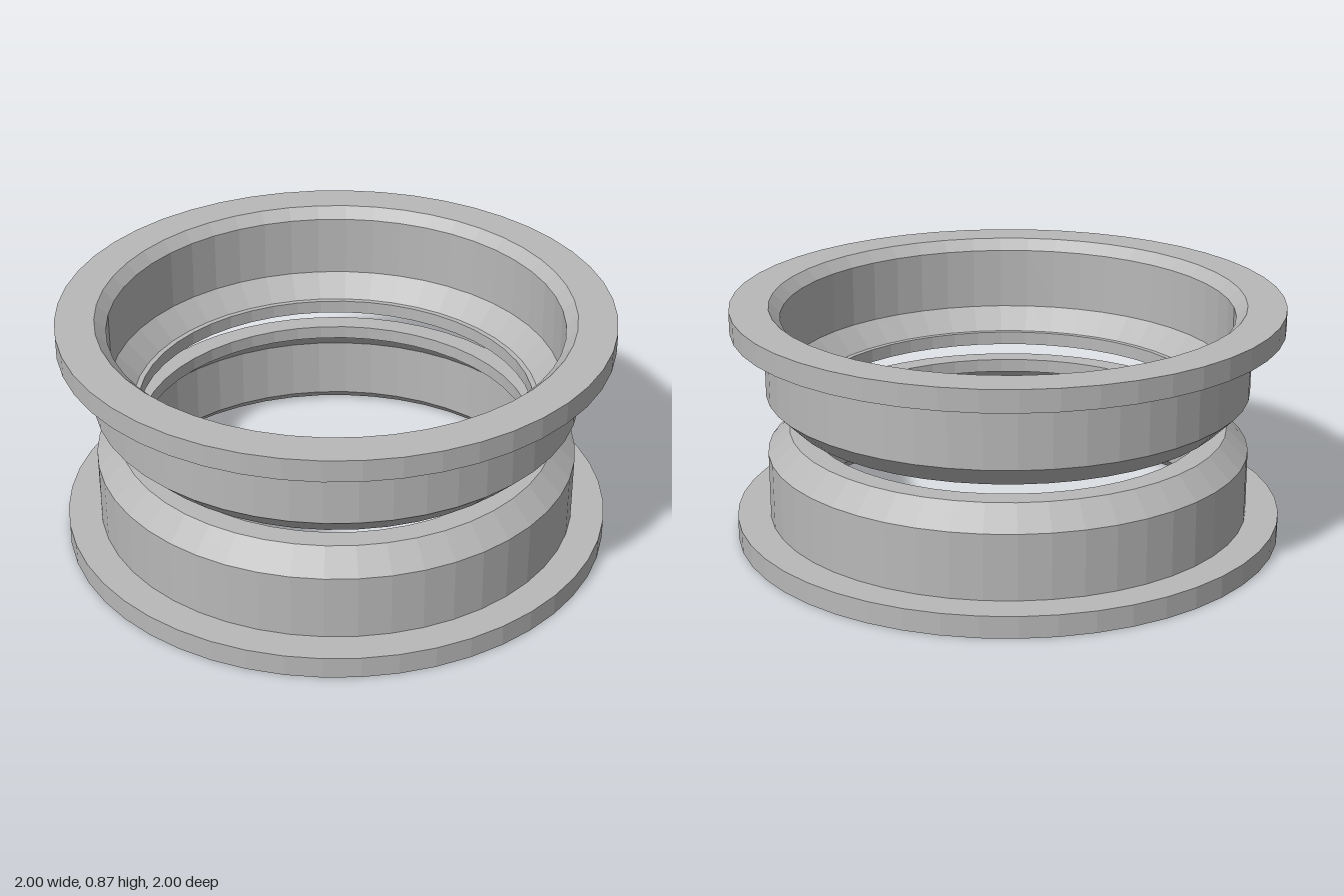
import * as THREE from 'three';

const HEIGHT = 0.865;
const SIDES = 48;

// Closed cross-section of one half as [radius, height], outer side going up
const PROFILE = [
  [0.86, 0], [1, 0], [1, 0.08],            // flange
  [0.88, 0.08], [0.88, 0.32], [0.8, 0.4],  // drum and outer taper
  [0.72, 0.4], [0.72, 0.35], [0.74, 0.35], // inner lip
  [0.82, 0.27], [0.82, 0.04], [0.86, 0],   // bore and rim chamfer
];

function ringGeometry() {
  const points = PROFILE.map(([r, y]) => new THREE.Vector2(r, y));
  // Separate the faces so that every facet keeps its own normal
  const geometry = new THREE.LatheGeometry(points, SIDES).toNonIndexed();
  geometry.computeVertexNormals();
  return geometry;
}

export function createModel() {
  const model = new THREE.Group();
  model.name = 'flangedRingPair';

  const greyMetal = new THREE.MeshStandardMaterial({ color: 0xb8b8b8 });
  greyMetal.name = 'greyMetal';

  const geometry = ringGeometry();

  // Lower half stands on its flange
  const lowerRing = new THREE.Mesh(geometry, greyMetal);
  lowerRing.name = 'lowerRing';

  // Upper half is the same ring turned over, leaving a narrow gap
  const upperRing = new THREE.Mesh(geometry, greyMetal);
  upperRing.name = 'upperRing';
  upperRing.rotation.x = Math.PI;
  upperRing.position.y = HEIGHT;

  model.add(lowerRing, upperRing);
  return model;
}
